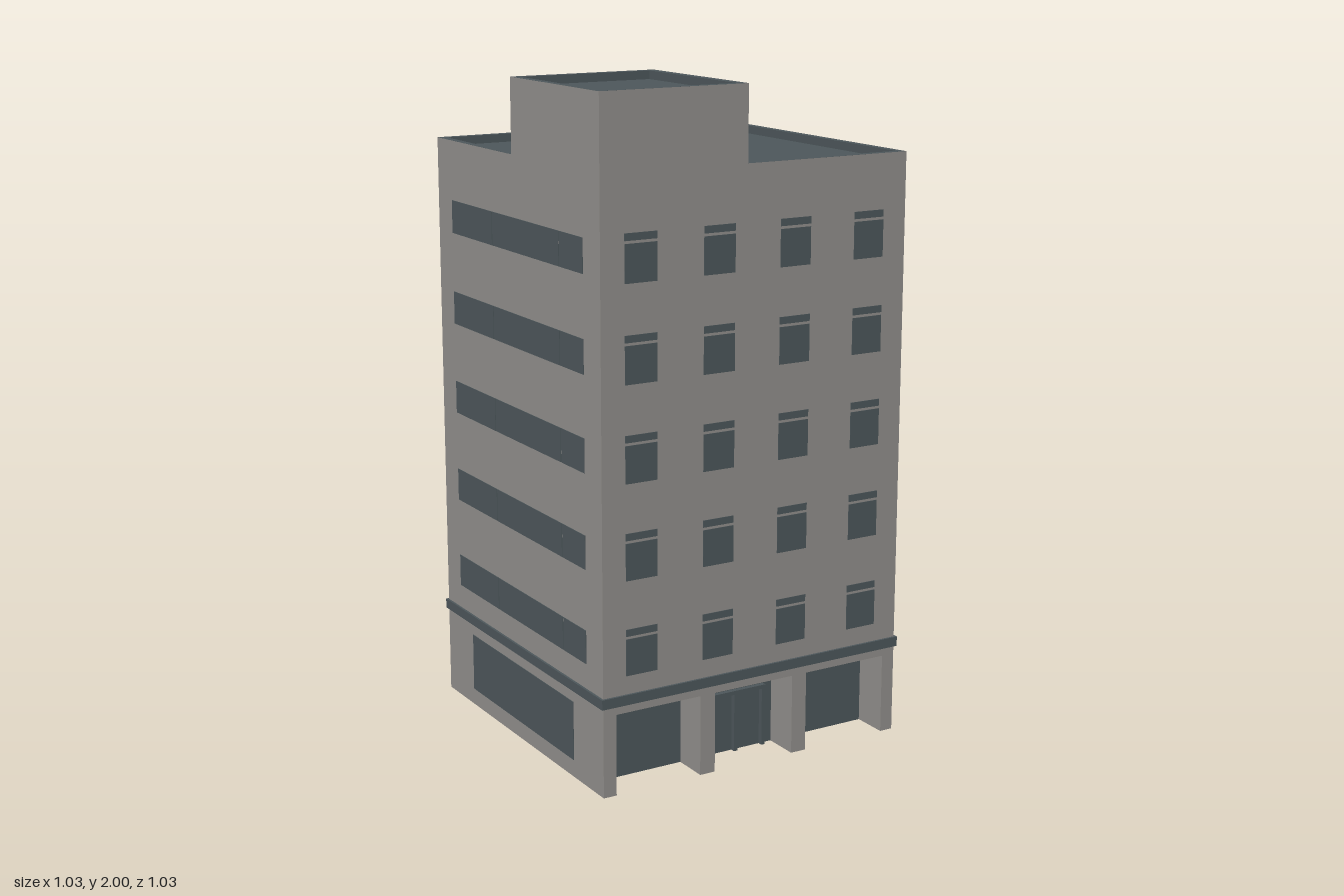
import * as THREE from 'three';

const W = 0.507;           // half width of the walls
const ROOF = 1.78, TOP = 2.0, FLOOR = 1.755;
const PX = -0.037, PZ = -0.01; // inner corner of the rooftop stair house
const SHOP_Z = 0.395, SHOP_H = 0.245;
const STOREY = 0.281;

export function createModel() {
  const model = new THREE.Group();
  const wall = new THREE.MeshStandardMaterial({ color: 0x94918e, side: THREE.DoubleSide });
  wall.name = 'concreteGrey';
  const dark = new THREE.MeshStandardMaterial({ color: 0x4e585c, side: THREE.DoubleSide });
  dark.name = 'slateGrey';

  const add = (parent, name, geometry, material) => {
    const mesh = new THREE.Mesh(geometry, material);
    mesh.name = name;
    parent.add(mesh);
    return mesh;
  };
  const outline = pts => new THREE.Shape(pts.map(p => new THREE.Vector2(...p)));
  const sheet = (parent, name, pts, material = wall) =>
    add(parent, name, new THREE.ShapeGeometry(outline(pts)), material);
  // box given by its limits
  const box = (parent, name, x0, x1, y0, y1, z0, z1, material = dark) => {
    const m = add(parent, name, new THREE.BoxGeometry(x1 - x0, y1 - y0, z1 - z0), material);
    m.position.set((x0 + x1) / 2, (y0 + y1) / 2, (z0 + z1) / 2);
    return m;
  };
  // thin pane straddling its wall, so it shows inside and out
  const pane = (parent, name, x0, x1, y0, y1) => box(parent, name, x0, x1, y0, y1, -0.002, 0.002);
  // flat ring lying in the xz plane, points given as [x, z]
  const ring = (parent, name, outer, inner, y0, y1) => {
    const flip = pts => pts.map(([x, z]) => [x, -z]);
    const shape = outline(flip(outer));
    shape.holes.push(outline(flip(inner)));
    const g = new THREE.ExtrudeGeometry(shape, { depth: y1 - y0, bevelEnabled: false });
    g.rotateX(-Math.PI / 2).translate(0, y0, 0);
    return add(parent, name, g, dark);
  };
  const rect = (x0, x1, z0, z1) => [[x0, z0], [x1, z0], [x1, z1], [x0, z1]];

  // front: one sheet with the stair house step and three shop openings
  const front = new THREE.Group();
  front.name = 'front';
  front.position.z = W;
  model.add(front);
  const openings = [[-0.465, -0.185], [-0.135, 0.135], [0.185, 0.465]];
  const frontPts = [[-W, 0]];
  openings.forEach(([a, b]) => frontPts.push([a, 0], [a, SHOP_H], [b, SHOP_H], [b, 0]));
  frontPts.push([W, 0], [W, ROOF], [PX, ROOF], [PX, TOP], [-W, TOP]);
  sheet(front, 'frontWall', frontPts);
  for (let floor = 0; floor < 5; floor++) {
    for (let i = 0; i < 4; i++) {
      const x = -0.381 + i * 0.253, y = 0.355 + floor * STOREY;
      pane(front, 'frontWindow', x - 0.051, x + 0.051, y, y + 0.109);
      pane(front, 'frontTransom', x - 0.051, x + 0.051, y + 0.117, y + 0.138);
    }
  }

  // recessed shop fronts with pillar sides and soffits
  const depth = W - SHOP_Z, mid = (W + SHOP_Z) / 2;
  openings.forEach(([a, b]) => {
    const glass = add(model, 'shopGlass', new THREE.PlaneGeometry(b - a, SHOP_H), dark);
    glass.position.set((a + b) / 2, SHOP_H / 2, SHOP_Z);
    const soffit = add(model, 'shopSoffit', new THREE.PlaneGeometry(b - a, depth), wall);
    soffit.rotation.x = Math.PI / 2;
    soffit.position.set((a + b) / 2, SHOP_H, mid);
    for (const [x, turn] of [[a, 1], [b, -1]]) {
      const side = add(model, 'pillarSide', new THREE.PlaneGeometry(depth, SHOP_H), wall);
      side.rotation.y = turn * Math.PI / 2;
      side.position.set(x, SHOP_H / 2, mid);
    }
  });

  // entrance door frame
  const door = new THREE.Group();
  door.name = 'entranceDoor';
  model.add(door);
  for (const x of [-0.098, 0, 0.098])
    box(door, 'doorPost', x - 0.006, x + 0.006, 0, 0.19, SHOP_Z - 0.01, SHOP_Z + 0.015);
  box(door, 'doorHead', -0.104, 0.104, 0.18, 0.192, SHOP_Z - 0.01, SHOP_Z + 0.015);

  // side walls with strip windows; the two sides match by a half turn
  for (const s of [1, -1]) {
    const side = new THREE.Group();
    side.name = s > 0 ? 'leftSide' : 'rightSide';
    side.rotation.y = s * Math.PI / 2;
    side.position.x = s * W;
    model.add(side);
    sheet(side, 'sideWall', s > 0
      ? [[-W, 0], [W, 0], [W, ROOF], [-W, ROOF]]
      : [[-W, 0], [W, 0], [W, TOP], [PZ, TOP], [PZ, ROOF], [-W, ROOF]]);
    const cuts = [-0.413, -0.14, 0.275, 0.413];
    for (let floor = 0; floor < 5; floor++) {
      const y = 0.375 + floor * STOREY;
      for (let i = 0; i < 3; i++)
        pane(side, 'stripWindow', cuts[i] + 0.002, cuts[i + 1] - 0.002, y, y + 0.1);
    }
    pane(side, 'groundWindow', -0.33, 0.33, 0.053, 0.233);
  }

  // plain back wall
  const back = sheet(model, 'backWall', [[-W, 0], [W, 0], [W, ROOF], [-W, ROOF]]);
  back.rotation.y = Math.PI;
  back.position.z = -W;

  // band above the ground floor
  ring(model, 'band', rect(-0.514, 0.514, -0.514, 0.514), rect(-W, W, -W, W), 0.27, 0.3);

  // main roof and its L-shaped parapet
  const E = W - 0.001, I = 0.484;
  const roof = add(model, 'roof', new THREE.PlaneGeometry(2 * E, 2 * E), dark);
  roof.rotation.x = -Math.PI / 2;
  roof.position.y = FLOOR;
  ring(model, 'parapet',
    [[-E, -E], [E, -E], [E, E], [PX, E], [PX, PZ], [-E, PZ]],
    [[-I, -I], [I, -I], [I, I], [-0.02, I], [-0.02, -0.029], [-I, -0.029]],
    FLOOR, ROOF);

  // stair house: two inner walls, roof, parapet and door
  const house = new THREE.Group();
  house.name = 'stairHouse';
  model.add(house);
  const houseSide = sheet(house, 'stairHouseSide', [[-W, FLOOR], [-PZ, FLOOR], [-PZ, TOP], [-W, TOP]]);
  houseSide.rotation.y = Math.PI / 2;
  houseSide.position.x = PX;
  const houseBack = sheet(house, 'stairHouseBack', [[-PX, FLOOR], [W, FLOOR], [W, TOP], [-PX, TOP]]);
  houseBack.rotation.y = Math.PI;
  houseBack.position.z = PZ;
  ring(house, 'stairHouseParapet', rect(-E, PX - 0.001, PZ + 0.001, E),
    rect(-I, -0.064, 0.014, I), 1.975, TOP);
  const cap = add(house, 'stairHouseRoof', new THREE.PlaneGeometry(PX + E, E - PZ), dark);
  cap.rotation.x = -Math.PI / 2;
  cap.position.set((PX - E) / 2, 1.975, (PZ + E) / 2);
  box(house, 'roofDoor', -0.32, -0.23, FLOOR, 1.975, PZ - 0.006, PZ + 0.002);

  return model;
}
